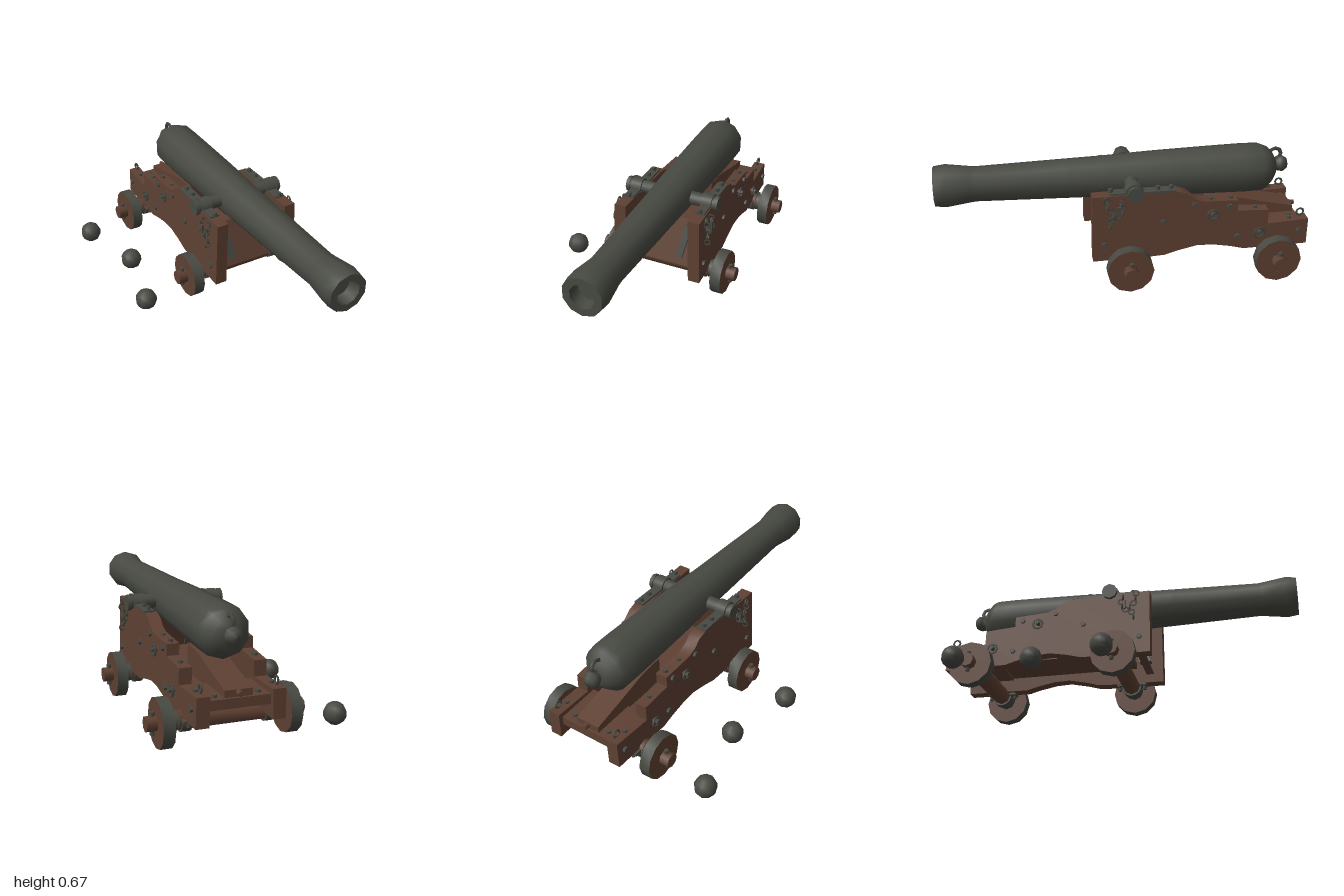
import * as THREE from 'three';
import { toCreasedNormals } from 'three/addons/utils/BufferGeometryUtils.js';

const wood = new THREE.MeshStandardMaterial({ color: 0x5e4032 });
wood.name = 'brown wood';
const iron = new THREE.MeshStandardMaterial({ color: 0x474942 });
iron.name = 'dark iron';

export function createModel() {
  const model = new THREE.Group();
  model.name = 'shipCannon';
  const gun = new THREE.Group();
  gun.name = 'gunAndCarriage';
  gun.position.x = 0.127;
  model.add(gun);

  const add = (name, geo, mat, x = 0, y = 0, z = 0, parent = gun) => {
    const mesh = new THREE.Mesh(geo, mat);
    mesh.name = name;
    mesh.position.set(x, y, z);
    parent.add(mesh);
    return mesh;
  };
  const box = (name, mat, w, h, d, x, y, z) => add(name, new THREE.BoxGeometry(w, h, d), mat, x, y, z);
  // cylinder lying along x
  const rod = (name, mat, r, len, x, y, z, sides = 10, r2 = r) =>
    add(name, toCreasedNormals(new THREE.CylinderGeometry(r, r2, len, sides).rotateZ(-Math.PI / 2), 0.85), mat, x, y, z);
  // side profile in (z, y) extruded across x
  const profile = (pts, width) => {
    const shape = new THREE.Shape(pts.map(([z, y]) => new THREE.Vector2(z, y)));
    return new THREE.ExtrudeGeometry(shape, { depth: width, bevelEnabled: false })
      .rotateY(-Math.PI / 2).translate(width / 2, 0, 0);
  };
  const ring = (name, r, tube, x, y, z, turn = 0) => {
    const m = add(name, new THREE.TorusGeometry(r, tube, 4, 8), iron, x, y, z);
    m.rotation.y = turn;
    return m;
  };

  // Barrel: breech, swell, taper, flared muzzle and recessed bore
  const barrelPts = [[0, -0.86], [0.05, -0.855], [0.085, -0.835], [0.12, -0.80], [0.135, -0.765], [0.136, -0.66],
    [0.133, -0.5], [0.127, -0.25], [0.122, -0.1], [0.113, 0.1], [0.108, 0.3], [0.095, 0.78], [0.098, 0.81],
    [0.116, 0.94], [0.108, 1], [0.068, 1], [0.06, 0.93], [0, 0.93]];
  const barrel = new THREE.LatheGeometry(barrelPts.map(p => new THREE.Vector2(...p)), 10).rotateX(Math.PI / 2);
  add('barrel', toCreasedNormals(barrel, 0.8), iron, 0, 0.534, 0);

  // Cascabel: neck, knob and rope loop
  const knobPts = [[0.04, 0.03], [0.026, 0], [0.045, -0.025], [0.047, -0.045], [0.03, -0.07], [0, -0.078]].reverse();
  add('cascabelKnob', new THREE.LatheGeometry(knobPts.map(p => new THREE.Vector2(...p)), 8).rotateX(Math.PI / 2),
    iron, 0, 0.545, -0.852);
  ring('breechLoop', 0.033, 0.011, 0, 0.605, -0.855, Math.PI / 2);

  // Trunnions
  rod('trunnions', iron, 0.038, 0.53, 0, 0.54, -0.035);

  // Cheeks: stepped sides, arched underneath, closer together at the rear
  const cheekPts = [[0.19, 0.155], [0.19, 0.53], [-0.26, 0.53], [-0.31, 0.515], [-0.35, 0.48], [-0.4, 0.46],
    [-0.595, 0.45], [-0.595, 0.39], [-0.77, 0.378], [-0.77, 0.295], [-1, 0.305], [-1, 0.155], [-0.64, 0.155],
    [-0.57, 0.175], [-0.47, 0.195], [-0.38, 0.2], [-0.28, 0.18], [-0.2, 0.158], [-0.12, 0.155]].reverse();
  const cheekX = (y, z) => 0.215 + 0.028 * z - 0.03 * (y - 0.34);
  for (const s of [-1, 1]) {
    const geo = profile(cheekPts, 0.066);
    const p = geo.attributes.position;
    for (let i = 0; i < p.count; i++) p.setX(i, p.getX(i) + s * cheekX(p.getY(i), p.getZ(i)));
    add('cheek', toCreasedNormals(geo, 0.6), wood);

    // Iron straps over the trunnions
    const cx = s * cheekX(0.53, 0);
    box('capStrap', iron, 0.056, 0.012, 0.35, cx, 0.534, -0.08);
    const cap = add('trunnionCap', new THREE.CylinderGeometry(0.05, 0.05, 0.06, 8, 1, false, 0, Math.PI)
      .rotateZ(Math.PI / 2), iron, cx, 0.536, -0.035);
    cap.material = iron;
    rod('trunnionEnd', iron, 0.044, 0.02, s * 0.262, 0.54, -0.035, 8);
    for (const z of [0.09, -0.16, -0.23])
      add('capBolt', new THREE.CylinderGeometry(0.012, 0.014, 0.022, 6), iron, cx, 0.548, z);

    // Hanging chain with its key
    const links = [[0.515, 0.115], [0.485, 0.112], [0.455, 0.1], [0.43, 0.08], [0.42, 0.055], [0.44, 0.035],
      [0.47, 0.03], [0.495, 0.04], [0.4, 0.09], [0.37, 0.1]];
    links.forEach(([y, z], i) => ring('chainLink', 0.016, 0.005, s * (cheekX(y, z) + 0.046), y, z,
      i % 2 ? 0.2 : Math.PI / 2));
    box('chainKey', iron, 0.012, 0.05, 0.016, s * 0.264, 0.45, 0.05);

    // Bolts and ring bolts on the outer face
    for (const [y, z] of [[0.36, -0.19], [0.445, -0.355], [0.235, -0.6], [0.24, -0.95], [0.25, 0.13], [0.42, -0.55]])
      rod('bolt', iron, 0.016, 0.016, s * (cheekX(y, z) + 0.038), y, z, 6);
    for (const [y, z] of [[0.39, -0.455], [0.26, -0.72]]) {
      rod('ringBolt', iron, 0.012, 0.04, s * (cheekX(y, z) + 0.045), y, z, 6);
      ring('boltRing', 0.028, 0.007, s * (cheekX(y, z) + 0.05), y - 0.005, z, Math.PI / 2);
    }
    // Bolts on top of the steps
    for (const [y, z] of [[0.455, -0.45], [0.455, -0.56], [0.385, -0.7], [0.303, -0.9]])
      add('topBolt', new THREE.CylinderGeometry(0.013, 0.013, 0.014, 6), iron, s * cheekX(y, z), y + 0.004, z);
    ring('tackleRing', 0.02, 0.006, s * cheekX(0.3, -0.96), 0.335, -0.96, Math.PI / 2);
  }

  // Front transom: tapering board between the cheeks, tilted back
  const transom = new THREE.BoxGeometry(0.38, 0.25, 0.045);
  const tp = transom.attributes.position;
  for (let i = 0; i < tp.count; i++) {
    const y = tp.getY(i);
    tp.setX(i, tp.getX(i) * (1 - (y + 0.125) * 0.32));
    tp.setZ(i, tp.getZ(i) - y * 0.35);
  }
  transom.computeVertexNormals();
  add('transom', transom, wood, 0, 0.33, 0.07);
  for (const s of [-1, 1]) for (const side of [-1, 1]) {
    const strap = box('transomStrap', iron, 0.036, 0.19, 0.012, s * 0.125, 0.335, 0.07 + side * 0.028);
    strap.rotation.set(-0.337, 0, -s * 0.15);
  }

  // Bed and elevating wedge with its handle
  box('bed', wood, 0.24, 0.035, 0.75, 0, 0.235, -0.33);
  box('rearBed', wood, 0.33, 0.05, 0.25, 0, 0.25, -0.85);
  const wedge = [[-0.96, 0.27], [-0.45, 0.25], [-0.45, 0.405], [-0.6, 0.395], [-0.78, 0.35], [-0.96, 0.31]];
  add('elevatingWedge', profile(wedge, 0.14), wood);
  add('wedgeHandle', new THREE.CylinderGeometry(0.014, 0.02, 0.05, 6).rotateX(-Math.PI / 2), wood, 0, 0.295, -0.965);
  for (const s of [-1, 1])
    add('bedBolt', new THREE.CylinderGeometry(0.013, 0.013, 0.016, 6), iron, s * 0.11, 0.28, -0.93);

  // Axles, wheels, pins and clamps
  for (const z of [0, -0.805]) {
    rod('axle', wood, 0.04, 0.81, 0, 0.135, z, 8);
    rod('axleBody', wood, 0.05, 0.5, 0, 0.137, z, 8);
    for (const s of [-1, 1]) {
      const wheel = new THREE.Group();
      wheel.name = 'wheel';
      wheel.position.set(s * 0.323, 0.133, z);
      gun.add(wheel);
      const disc = new THREE.CylinderGeometry(0.125, 0.125, 0.06, 12).rotateZ(Math.PI / 2);
      add('wheelDisc', toCreasedNormals(disc, 0.7), [iron, wood, wood], 0, 0, 0, wheel);
      add('linchPin', new THREE.CylinderGeometry(0.012, 0.012, 0.115, 6), iron, s * 0.048, 0.002, 0, wheel);
      // clamp holding the axle under the cheek
      const clamp = new THREE.CylinderGeometry(0.058, 0.058, 0.05, 8, 1, false, Math.PI, Math.PI).rotateZ(Math.PI / 2);
      add('axleClamp', clamp, iron, s * 0.215, 0.137, z);
      box('clampPlate', iron, 0.055, 0.014, 0.17, s * 0.215, 0.15, z);
      rod('axleCollar', iron, 0.052, 0.03, s * 0.268, 0.137, z, 8);
      for (const e of [-1, 1])
        add('clampBolt', new THREE.CylinderGeometry(0.011, 0.011, 0.03, 6), iron, s * 0.215, 0.137, z + e * 0.073);
    }
  }

  // Cannonballs
  for (const [x, z] of [[-0.475, -0.795], [-0.38, -0.4], [-0.475, 0]])
    add('cannonball', new THREE.SphereGeometry(0.061, 9, 7), iron, x, 0.061, z, model);

  return model;
}
